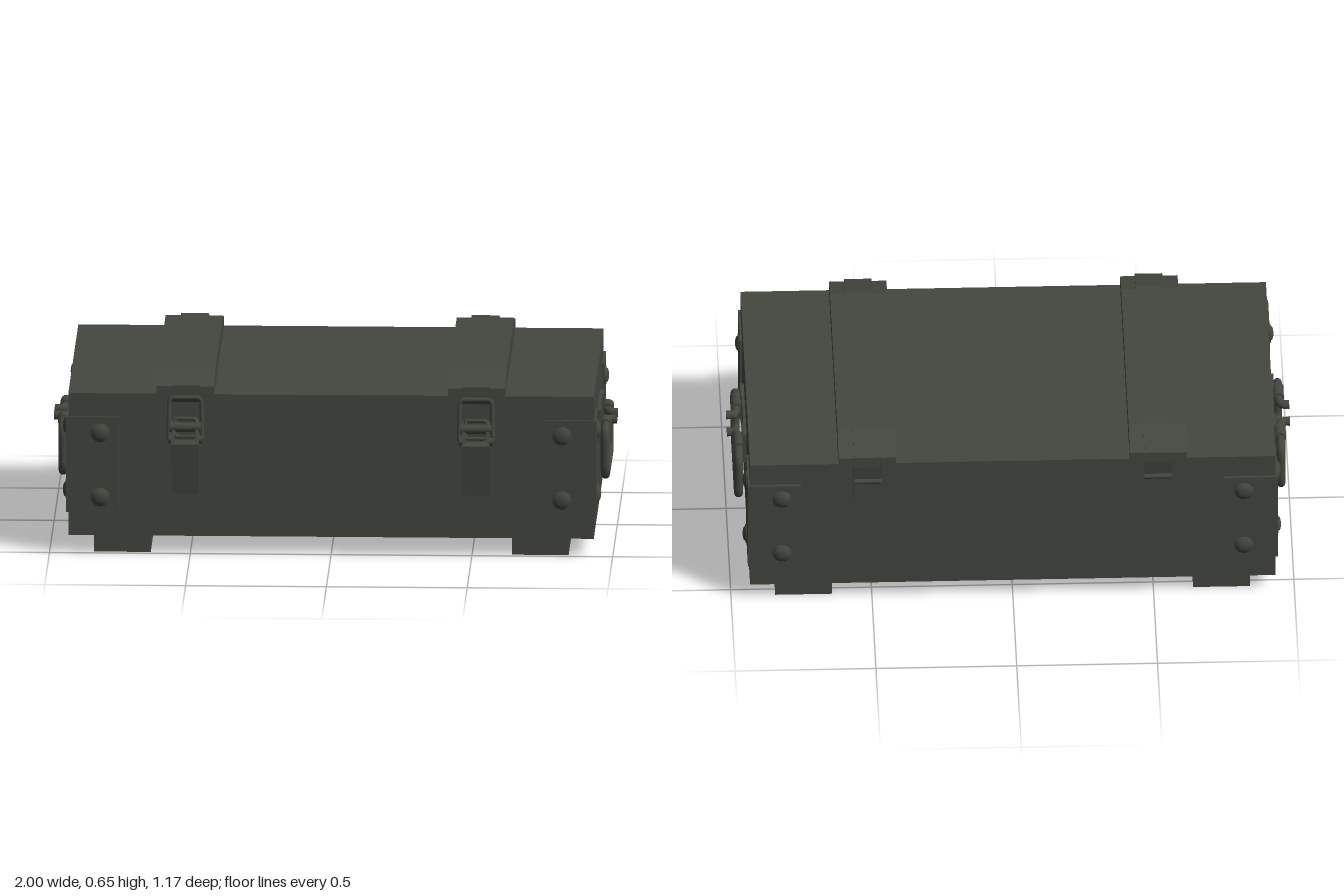
import * as THREE from 'three';

const paint = new THREE.MeshStandardMaterial({ color: 0x43473f });
paint.name = 'olive drab paint';

function add(parent, name, geometry) {
  const mesh = new THREE.Mesh(geometry, paint);
  mesh.name = name;
  parent.add(mesh);
  return mesh;
}

// Box given by its limits on each axis
function box(parent, name, x0, x1, y0, y1, z0, z1) {
  const g = new THREE.BoxGeometry(x1 - x0, y1 - y0, z1 - z0);
  g.translate((x0 + x1) / 2, (y0 + y1) / 2, (z0 + z1) / 2);
  return add(parent, name, g);
}

// Side profile of [z, y] points, extruded along x and centred on x = 0
function profile(parent, name, points, width) {
  const shape = new THREE.Shape(points.map(([z, y]) => new THREE.Vector2(z, y)));
  const g = new THREE.ExtrudeGeometry(shape, { depth: width, bevelEnabled: false });
  g.translate(0, 0, -width / 2);
  g.rotateY(-Math.PI / 2);
  return add(parent, name, g);
}

// Rod lying along the x axis
function rodX(parent, name, r, length, y, z) {
  const g = new THREE.CylinderGeometry(r, r, length, 14);
  g.rotateZ(Math.PI / 2);
  g.translate(0, y, z);
  return add(parent, name, g);
}

// Bent wire through points with rounded corners
function wire(parent, name, coords, bend, radius, closed = false) {
  const pts = coords.map((p) => new THREE.Vector3(...p));
  const n = pts.length;
  const path = new THREE.CurvePath();
  const toward = (a, b) => a.clone().add(b.clone().sub(a).setLength(Math.min(bend, a.distanceTo(b) * 0.45)));
  const first = closed ? toward(pts[0], pts[1]) : pts[0];
  let last = first;
  for (let i = 1; i < (closed ? n + 1 : n - 1); i++) {
    const p = pts[i % n];
    const a = toward(p, pts[i - 1]);
    const b = toward(p, pts[(i + 1) % n]);
    path.add(new THREE.LineCurve3(last, a));
    path.add(new THREE.QuadraticBezierCurve3(a, p, b));
    last = b;
  }
  if (!closed) path.add(new THREE.LineCurve3(last, pts[n - 1]));
  return add(parent, name, new THREE.TubeGeometry(path, 120, radius, 10, closed));
}

const rivetShape = new THREE.LatheGeometry(
  [[0.034, 0], [0.033, 0.005], [0.026, 0.006], [0.023, 0.011], [0.012, 0.014], [0, 0.015]]
    .map(([r, y]) => new THREE.Vector2(r, y)), 18);

function rivet(parent, x, y, z, rx, rz) {
  const m = add(parent, 'rivet', rivetShape);
  m.position.set(x, y, z);
  m.rotation.set(rx, 0, rz);
}

// Corner bracket: two plates and four rivets
function makeCorner(sx, front) {
  const g = new THREE.Group();
  g.name = 'cornerBracket';
  const X = 0.941 * sx;
  const zOut = front ? 0.515 : -0.573;
  const zIn = front ? 0.323 : -0.379;
  const zWall = front ? 0.504 : -0.563;
  const span = (a, b) => [Math.min(a, b), Math.max(a, b)];
  box(g, 'facePlate', ...span(X, 0.752 * sx), 0.152, 0.498, ...span(zOut, zWall));
  box(g, 'sidePlate', ...span(X, 0.932 * sx), 0.152, 0.498, ...span(zOut, zIn));
  for (const y of [0.207, 0.441]) {
    rivet(g, 0.82 * sx, y, zOut, front ? Math.PI / 2 : -Math.PI / 2, 0);
    rivet(g, X, y, front ? 0.392 : -0.448, 0, -sx * Math.PI / 2);
  }
  return g;
}

// Carrying handle on the +x end
function makeHandle() {
  const g = new THREE.Group();
  g.name = 'carryHandle';
  box(g, 'mountPlate', 0.93, 0.943, 0.37, 0.45, -0.186, 0.13);
  const X = 0.963, top = 0.393, low = 0.217, zF = 0.182, zB = -0.239;
  wire(g, 'handleBar', [
    [1.0, 0.39, 0.023], [X, 0.39, 0.023], [X, top, zF], [X, low, zF],
    [X, low, zB], [X, top, zB], [X, 0.39, -0.08], [1.0, 0.39, -0.08],
  ], 0.045, 0.016);
  for (const z of [0.023, -0.08]) {
    const cap = add(g, 'barEnd', new THREE.CylinderGeometry(0.0165, 0.0165, 0.006, 12).rotateZ(Math.PI / 2));
    cap.position.set(0.997, 0.39, z);
  }
  for (const z of [0.094, -0.15]) {
    box(g, 'clipTab', 0.93, 0.947, 0.33, 0.45, z - 0.036, z + 0.036);
    const sleeve = add(g, 'clipSleeve', new THREE.CylinderGeometry(0.022, 0.022, 0.072, 14).rotateX(Math.PI / 2));
    sleeve.position.set(0.961, top, z);
  }
  return g;
}

// Front toggle latch
function makeLatch() {
  const g = new THREE.Group();
  g.name = 'latch';
  profile(g, 'catchStrap', [
    [0.383, 0.645], [0.391, 0.655], [0.522, 0.618], [0.522, 0.57],
    [0.531, 0.575], [0.536, 0.572], [0.524, 0.558], [0.512, 0.56], [0.512, 0.61],
  ], 0.098);
  box(g, 'basePlate', -0.045, 0.045, 0.26, 0.5, 0.503, 0.516);
  profile(g, 'lever', [
    [0.515, 0.425], [0.516, 0.255], [0.535, 0.238], [0.566, 0.234],
    [0.586, 0.418], [0.572, 0.43],
  ], 0.098);
  for (const x of [-0.043, 0.043]) {
    const ear = profile(g, 'leverEar', [[0.515, 0.42], [0.583, 0.42], [0.562, 0.468], [0.555, 0.488], [0.515, 0.494]], 0.012);
    ear.position.x = x;
  }
  rodX(g, 'pivotPin', 0.017, 0.11, 0.472, 0.547);
  rodX(g, 'lowerPin', 0.015, 0.12, 0.428, 0.55);
  wire(g, 'wireLoop', [
    [-0.057, 0.575, 0.529], [0.057, 0.575, 0.529], [0.06, 0.422, 0.55], [-0.06, 0.422, 0.55],
  ], 0.018, 0.008, true);
  wire(g, 'innerLoop', [
    [-0.038, 0.5, 0.535], [0.038, 0.5, 0.535], [0.038, 0.44, 0.56], [-0.038, 0.44, 0.56],
  ], 0.014, 0.007, true);
  return g;
}

// Rear hinge
function makeHinge() {
  const g = new THREE.Group();
  g.name = 'hinge';
  profile(g, 'upperLeaf', [
    [-0.439, 0.645], [-0.447, 0.655], [-0.579, 0.618], [-0.579, 0.575],
    [-0.572, 0.515], [-0.562, 0.515], [-0.562, 0.61],
  ], 0.098);
  rodX(g, 'hingeBarrel', 0.01, 0.098, 0.512, -0.572);
  box(g, 'lowerLeaf', -0.049, 0.049, 0.435, 0.512, -0.572, -0.562);
  return g;
}

export function createModel() {
  const model = new THREE.Group();
  model.name = 'storageCrate';
  box(model, 'crateBody', -0.933, 0.933, 0.066, 0.583, -0.564, 0.505);

  for (const s of [-1, 1]) {
    // Runners, lid battens and their fittings
    const foot = box(model, 'footRunner', -0.101, 0.101, 0, 0.067, -0.536, 0.479);
    foot.position.x = 0.742 * s;
    const batten = profile(model, 'lidBatten', [
      [0.515, 0.583], [0.515, 0.613], [0.389, 0.647], [-0.445, 0.647], [-0.573, 0.613], [-0.573, 0.583],
    ], 0.204);
    batten.position.x = 0.517 * s;
    for (const part of [makeLatch(), makeHinge()]) {
      part.position.x = 0.516 * s;
      model.add(part);
    }
    model.add(makeCorner(s, true), makeCorner(s, false));

    // Handles on both ends, mirrored about the body's own middle
    const handle = makeHandle();
    if (s < 0) {
      handle.rotation.y = Math.PI;
      handle.position.z = -0.056;
    }
    model.add(handle);
  }
  return model;
}
